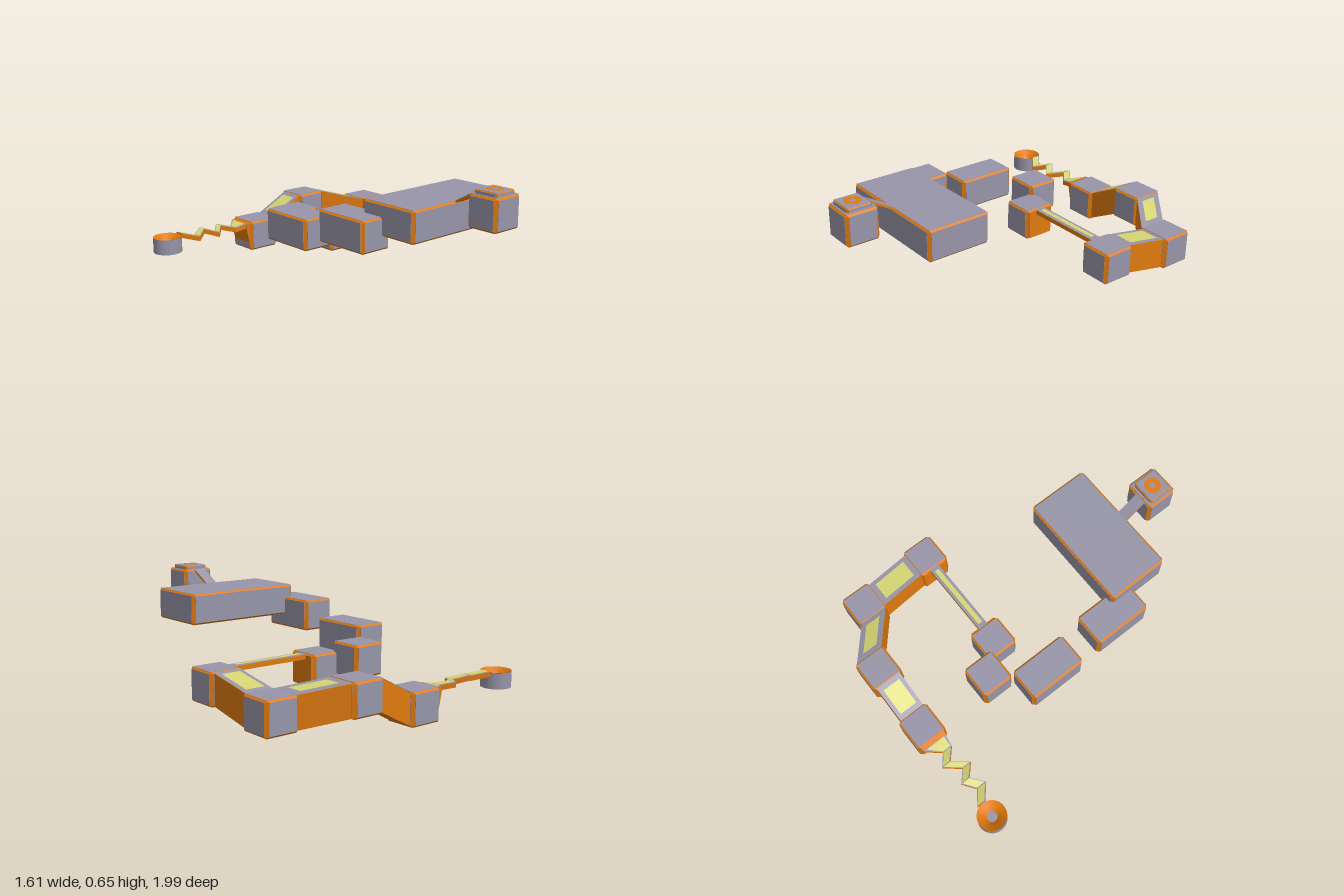
import * as THREE from 'three';
import { ConvexGeometry } from 'three/addons/geometries/ConvexGeometry.js';

const V = (x, y, z) => new THREE.Vector3(x, y, z);

export function createModel() {
  const root = new THREE.Group();
  root.name = 'obstacleCourse';
  const mat = (name, color) => {
    const m = new THREE.MeshStandardMaterial({ color, side: THREE.DoubleSide, flatShading: true });
    m.name = name;
    return m;
  };
  const grey = mat('grey', 0x9795a8);
  const orange = mat('orange', 0xe07a10);
  const yellow = mat('yellow', 0xd6d674);

  const add = (parent, name, geo, m, x = 0, y = 0, z = 0) => {
    const mesh = new THREE.Mesh(geo, m);
    mesh.name = name;
    mesh.position.set(x, y, z);
    parent.add(mesh);
    return mesh;
  };
  const group = (name) => {
    const g = new THREE.Group();
    g.name = name;
    root.add(g);
    return g;
  };

  // Chamfered orange block with a grey panel on each of its six faces
  function block(name, x0, x1, y0, y1, z0, z1, b = 0.01, c = 0.017) {
    const g = group(name);
    const w = x1 - x0, h = y1 - y0, d = z1 - z0;
    g.position.set((x0 + x1) / 2, (y0 + y1) / 2, (z0 + z1) / 2);
    const pts = [];
    for (const i of [-1, 1]) for (const j of [-1, 1]) for (const k of [-1, 1]) {
      pts.push(V(i * (w / 2 - b), j * h / 2, k * (d / 2 - b)));
      pts.push(V(i * w / 2, j * (h / 2 - b), k * (d / 2 - c)));
      pts.push(V(i * (w / 2 - c), j * (h / 2 - b), k * d / 2));
    }
    add(g, name + 'Edges', new ConvexGeometry(pts), orange);
    const e = 0.002;
    add(g, name + 'PanelsX', new THREE.BoxGeometry(w + e, h - 2 * b, d - 2 * c), grey);
    add(g, name + 'PanelsY', new THREE.BoxGeometry(w - 2 * b, h + e, d - 2 * b), grey);
    add(g, name + 'PanelsZ', new THREE.BoxGeometry(w - 2 * c, h - 2 * b, d + e), grey);
    return g;
  }

  // Upward facing four-cornered face
  function face(corners) {
    let [a, b, c, d] = corners;
    if (b.clone().sub(a).cross(c.clone().sub(a)).y < 0) [b, d] = [d, b];
    const geo = new THREE.BufferGeometry().setFromPoints([a, b, c, a, c, d]);
    geo.computeVertexNormals();
    return geo;
  }

  // Orange bridge between two edges, grey on top, with an inset yellow strip
  function bridge(name, a0, a1, b0, b1, depthA, depthB, u = 0.12, v = 0.16, strip = true) {
    const g = group(name);
    const down = (p, s) => V(p.x, p.y - s, p.z);
    const body = [a0, a1, b0, b1, down(a0, depthA), down(a1, depthA), down(b0, depthB), down(b1, depthB)];
    add(g, name + 'Body', new ConvexGeometry(body), orange);
    const at = (s, t, lift) => {
      const p = a0.clone().lerp(b0, s).lerp(a1.clone().lerp(b1, s), t);
      p.y += lift;
      return p;
    };
    const inset = (s, t, lift) => face([at(s, t, lift), at(s, 1 - t, lift), at(1 - s, 1 - t, lift), at(1 - s, t, lift)]);
    add(g, name + 'Deck', inset(0, 0, 0.0015), grey);
    if (strip) add(g, name + 'Strip', inset(u, v, 0.004), yellow);
  }

  // Start tower with its cap and ring
  block('startTower', 0, 0.19, 0.45, 0.628, 0.8, 0.99);
  block('startCap', 0.022, 0.168, 0.622, 0.65, 0.825, 0.97, 0.005, 0.01);
  add(root, 'startRing', new THREE.RingGeometry(0.018, 0.05, 8).rotateX(-Math.PI / 2), orange, 0.095, 0.654, 0.897);
  bridge('startPlank', V(0.05, 0.628, 0.805), V(0.12, 0.628, 0.805), V(0.05, 0.555, 0.675), V(0.12, 0.555, 0.675), 0.012, 0.012, 0, 0, false);

  // Platforms, in order along the course
  block('largePlatform', -0.265, 0.45, 0.38, 0.555, 0.312, 0.685);
  block('longPlatformFront', -0.4, -0.205, 0.305, 0.482, 0.108, 0.46);
  block('longPlatformBack', -0.4, -0.205, 0.22, 0.397, -0.35, 0);
  block('stepBlock', -0.21, -0.013, 0.16, 0.338, -0.545, -0.352);
  block('beamStartBlock', -0.045, 0.145, 0.105, 0.282, -0.386, -0.194);
  block('beamEndBlock', 0.61, 0.8, 0.105, 0.282, -0.386, -0.194);
  block('cornerBlock', 0.605, 0.8, 0.05, 0.232, -0.835, -0.643);
  block('backBlock', 0.215, 0.41, 0.11, 0.289, -1, -0.808);
  block('lowBlock', -0.18, 0.02, 0, 0.18, -1, -0.808);

  // Narrow beam with orange tapered sockets at its ends
  bridge('balanceBeam', V(0.14, 0.277, -0.32), V(0.14, 0.277, -0.26), V(0.615, 0.277, -0.32), V(0.615, 0.277, -0.26), 0.025, 0.025, 0.06, 0.27);
  for (const [x, s] of [[0.132, 1], [0.622, -1]]) {
    const pts = [];
    for (const z of [-1, 1]) for (const y of [-1, 1]) {
      pts.push(V(x, 0.193 + y * 0.083, -0.29 + z * 0.09));
      pts.push(V(x + s * 0.018, 0.193 + y * 0.081, -0.29 + z * 0.078));
    }
    add(root, s > 0 ? 'beamStartSocket' : 'beamEndSocket', new ConvexGeometry(pts), orange);
  }

  // Wide ramps joining the back blocks
  bridge('sideRamp', V(0.62, 0.278, -0.38), V(0.78, 0.278, -0.38), V(0.62, 0.228, -0.65), V(0.78, 0.228, -0.65), 0.168, 0.173, 0.12, 0.16);
  bridge('diagonalRamp', V(0.61, 0.228, -0.82), V(0.61, 0.228, -0.65), V(0.405, 0.285, -0.985), V(0.405, 0.285, -0.815), 0.173, 0.17, 0.15, 0.23);
  bridge('downRamp', V(0.22, 0.284, -0.98), V(0.22, 0.284, -0.825), V(0.015, 0.176, -0.98), V(0.015, 0.176, -0.825), 0.17, 0.17, 0.14, 0.15);

  // Tapered socket leading from the low block to the zigzag
  const socket = [];
  for (const z of [-0.982, -0.825]) socket.push(V(-0.172, 0.005, z), V(-0.172, 0.174, z), V(-0.203, 0.168, z), V(-0.203, 0.15, z));
  add(root, 'zigzagSocket', new ConvexGeometry(socket), orange);

  // Zigzag path: x, top height, back z, front z
  const zig = [
    [-0.203, 0.17, -0.98, -0.828], [-0.27, 0.155, -0.9, -0.84], [-0.34, 0.172, -0.955, -0.9], [-0.41, 0.158, -0.868, -0.812],
    [-0.48, 0.182, -0.928, -0.872], [-0.55, 0.16, -0.875, -0.812], [-0.635, 0.182, -0.935, -0.882],
  ];
  for (let i = 0; i + 1 < zig.length; i++) {
    const [x, y, p, q] = zig[i], [X, Y, P, Q] = zig[i + 1];
    bridge('zigzag' + (i + 1), V(x, y, p), V(x, y, q), V(X, Y, P), V(X, Y, Q), 0.027, 0.027, 0.04, 0.1);
  }

  // Goal cup with funnel top
  const cup = group('goalCup');
  cup.position.set(-0.72, 0, -0.902);
  add(cup, 'cupWall', new THREE.CylinderGeometry(0.084, 0.084, 0.09, 32, 1, true), grey, 0, 0.13, 0).material = grey;
  add(cup, 'cupBase', new THREE.CircleGeometry(0.084, 32).rotateX(Math.PI / 2), grey, 0, 0.085, 0);
  const funnel = [[0.028, 0.13], [0.05, 0.15], [0.084, 0.176]].map(([r, y]) => new THREE.Vector2(r, y));
  add(cup, 'cupFunnel', new THREE.LatheGeometry(funnel, 32), orange);
  add(cup, 'cupHole', new THREE.CircleGeometry(0.03, 32).rotateX(-Math.PI / 2), grey, 0, 0.131, 0);
  return root;
}
